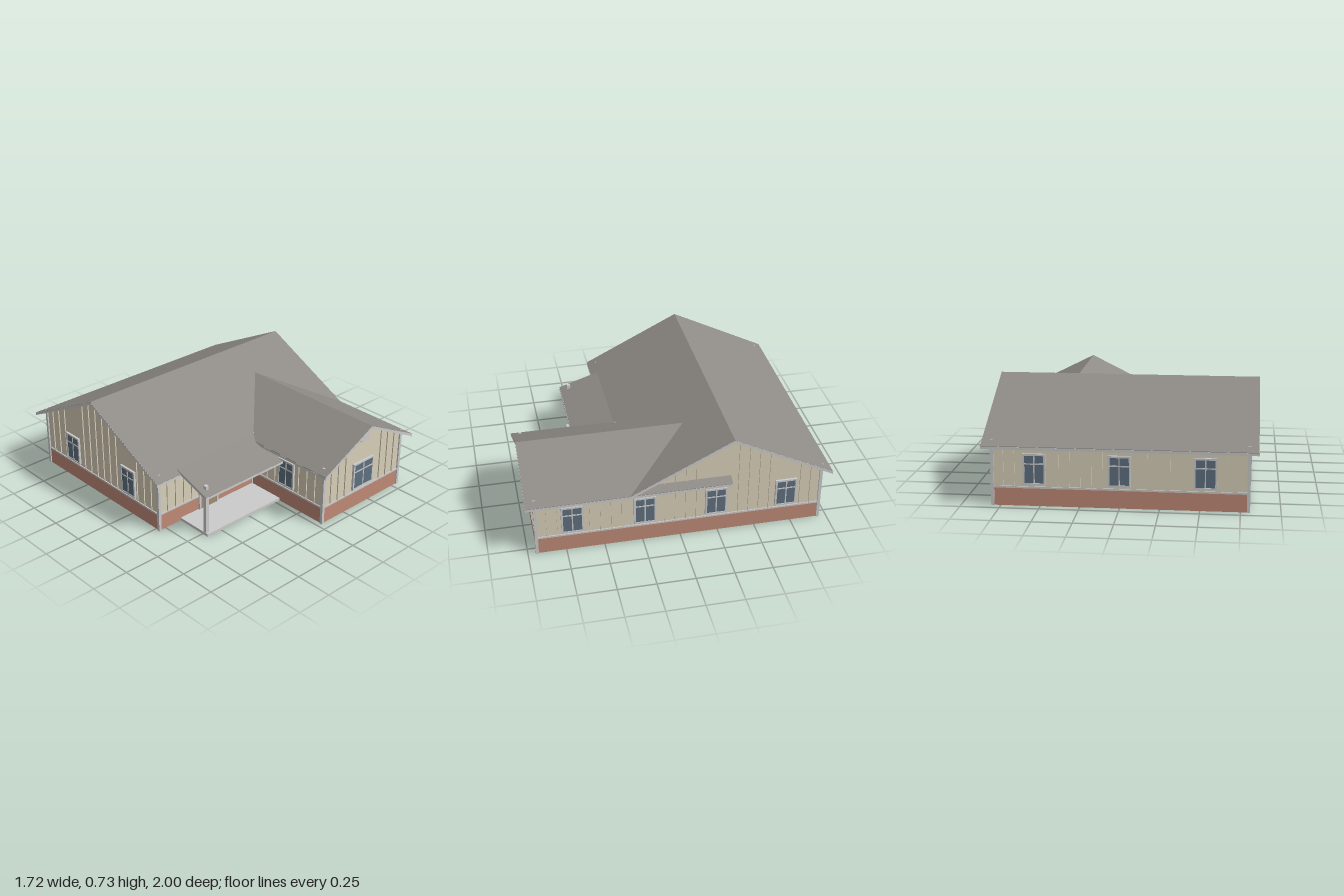
import * as THREE from 'three';

const mat = (color) => new THREE.MeshStandardMaterial({ color, side: THREE.DoubleSide, flatShading: true });

export function createModel() {
  const house = new THREE.Group();
  house.name = 'house';
  const trim = mat(0xcccccc), siding = mat(0xd9d0ba), brick = mat(0xbf8a77);
  const roofing = mat(0x8f8b86), glass = mat(0x5f7080), wood = mat(0xa58c70);

  function box(parent, name, material, w, h, d, x, y, z) {
    const m = new THREE.Mesh(new THREE.BoxGeometry(w, h, d), material);
    m.position.set(x, y, z);
    m.name = name;
    parent.add(m);
    return m;
  }

  function extrude(parent, name, material, pts, depth) {
    const shape = new THREE.Shape(pts.map(([x, y]) => new THREE.Vector2(x, y)));
    const m = new THREE.Mesh(new THREE.ExtrudeGeometry(shape, { depth, bevelEnabled: false }), material);
    m.name = name;
    parent.add(m);
    return m;
  }

  // Framed window with a cross of glazing bars
  function addWindow(parent, u, width) {
    const g = new THREE.Group();
    g.name = 'window';
    g.position.set(u, 0.24, 0);
    const h = 0.2, f = 0.012;
    box(g, 'glass', glass, width - f, h - f, 0.014, 0, 0, 0.004);
    for (const s of [-1, 1]) {
      box(g, 'frameSide', trim, f, h, 0.024, s * (width - f) / 2, 0, 0.003);
      box(g, 'frameRail', trim, width, f, 0.024, 0, s * (h - f) / 2, 0.003);
    }
    box(g, 'verticalBar', trim, 0.008, h, 0.02, 0, 0, 0.004);
    box(g, 'horizontalBar', trim, width, 0.008, 0.02, 0, 0.035, 0.004);
    parent.add(g);
  }

  // Wall in its own plane: +z is outward, top is a polyline of [u, height]
  function wall(name, x, z, turn, top, openings) {
    const g = new THREE.Group();
    g.name = name;
    g.position.set(x, 0, z);
    g.rotation.y = turn;
    const a = top[0][0], b = top[top.length - 1][0], len = b - a, mid = (a + b) / 2;
    extrude(g, 'siding', siding, [[a, 0.115], [b, 0.115], ...[...top].reverse()], 0.006).position.z = -0.006;
    box(g, 'brickBase', brick, len, 0.116, 0.008, mid, 0.058, -0.002);
    box(g, 'sillBand', trim, len, 0.012, 0.014, mid, 0.121, 0);
    for (const [u, w] of openings) if (w) addWindow(g, u, w);
    const count = Math.round(len / 0.07);
    for (let i = 1; i < count; i++) {
      const u = a + (len * i) / count;
      if (openings.some(([c, , clear]) => Math.abs(u - c) < clear)) continue;
      const k = top.findIndex((p, j) => j > 0 && u <= p[0] + 1e-6);
      const [p, q] = [top[k - 1], top[k]];
      const h = p[1] + ((q[1] - p[1]) * (u - p[0])) / (q[0] - p[0]) + 0.015;
      box(g, 'batten', siding, 0.005, h - 0.125, 0.008, u, (h + 0.125) / 2, 0.004);
    }
    house.add(g);
    return g;
  }

  const E = 0.404, W = 0.145, C = 0.085;
  wall('rightWall', 0.8, 0, Math.PI / 2, [[-0.94, E], [-0.28, E], [0.33, 0.71], [0.94, E]],
    [-0.705, -0.235, 0.235, 0.705].map((u) => [u, W, C]));
  wall('leftWall', -0.8, 0, -Math.PI / 2, [[-0.94, E], [-0.33, 0.71], [0.28, E]],
    [[-0.635, W, C], [-0.025, W, C]]);
  wall('backWall', 0, -0.94, Math.PI, [[-0.8, E], [0.8, E]],
    [-0.533, 0, 0.533].map((u) => [u, W, C]));
  wall('wingSideWall', 0.04, 0, -Math.PI / 2, [[0.28, E], [0.94, E]], [[0.61, W, C]]);
  const gable = wall('wingFrontWall', 0, 0.94, 0, [[0.04, E], [0.42, 0.594], [0.8, E]], [[0.42, 0.2, 0.11]]);
  box(gable, 'gableVent', trim, 0.08, 0.055, 0.014, 0.42, 0.515, 0.004);

  // Entrance door in the porch wall
  const entry = wall('entryWall', 0, 0.28, 0, [[-0.8, E], [0.04, E]], [[-0.377, 0, 0.095]]);
  box(entry, 'door', wood, 0.144, 0.29, 0.016, -0.377, 0.165, 0.004);
  box(entry, 'doorGlass', glass, 0.09, 0.08, 0.02, -0.377, 0.265, 0.004);
  for (const s of [-1, 1]) box(entry, 'doorTrim', trim, 0.014, 0.3, 0.022, -0.377 + s * 0.077, 0.165, 0.003);
  box(entry, 'doorHead', trim, 0.168, 0.014, 0.022, -0.377, 0.314, 0.003);

  // Corner boards
  const corners = [[-0.8, -0.94], [0.8, -0.94], [-0.8, 0.28], [0.04, 0.28], [0.04, 0.94], [0.8, 0.94]];
  for (const [x, z] of corners) box(house, 'cornerBoard', trim, 0.02, 0.424, 0.02, x, 0.212, z);

  // Gable roof running along local z, with rake and eave boards
  function gableRoof(name, half, ridge, length, ends) {
    const g = new THREE.Group();
    g.name = name;
    const eave = ridge - half * 0.5, t = 0.02;
    const chevron = (d) => [[-half, eave - d], [0, ridge - d], [half, eave - d], [half, eave - t], [0, ridge - t], [-half, eave - t]];
    extrude(g, 'roofSlopes', roofing, chevron(0), length);
    for (const z of ends) extrude(g, 'rakeBoard', trim, chevron(0.001), 0.006).position.z = z;
    for (const s of [-1, 1]) box(g, 'eaveBoard', trim, 0.006, 0.017, length, s * (half - 0.002), eave - 0.0115, length / 2);
    house.add(g);
    return g;
  }
  const mainRoof = gableRoof('mainRoof', 0.67, 0.732, 1.716, [-0.001, 1.711]);
  mainRoof.rotation.y = Math.PI / 2;
  mainRoof.position.set(-0.858, 0, -0.33);
  const wingRoof = gableRoof('wingRoof', 0.434, 0.615, 1.33, [1.325]);
  wingRoof.position.set(0.422, 0, -0.33);

  // Porch: slab, post and lean-to roof
  const porch = new THREE.Group();
  porch.name = 'porch';
  box(porch, 'porchSlab', trim, 0.66, 0.02, 0.27, -0.29, 0.01, 0.415);
  box(porch, 'porchPost', trim, 0.024, 0.35, 0.024, -0.605, 0.195, 0.52);
  const lean = (d) => [[-0.58, 0.325 - d], [-0.28, 0.424 - d], [-0.28, 0.408], [-0.58, 0.309]];
  const porchRoof = extrude(porch, 'porchRoof', roofing, lean(0), 0.7);
  const porchRake = extrude(porch, 'porchRake', trim, lean(0.001), 0.006);
  for (const m of [porchRoof, porchRake]) m.rotation.y = Math.PI / 2;
  porchRoof.position.x = -0.66;
  porchRake.position.x = -0.661;
  box(porch, 'porchFascia', trim, 0.7, 0.015, 0.006, -0.31, 0.316, 0.579);
  house.add(porch);

  return house;
}
